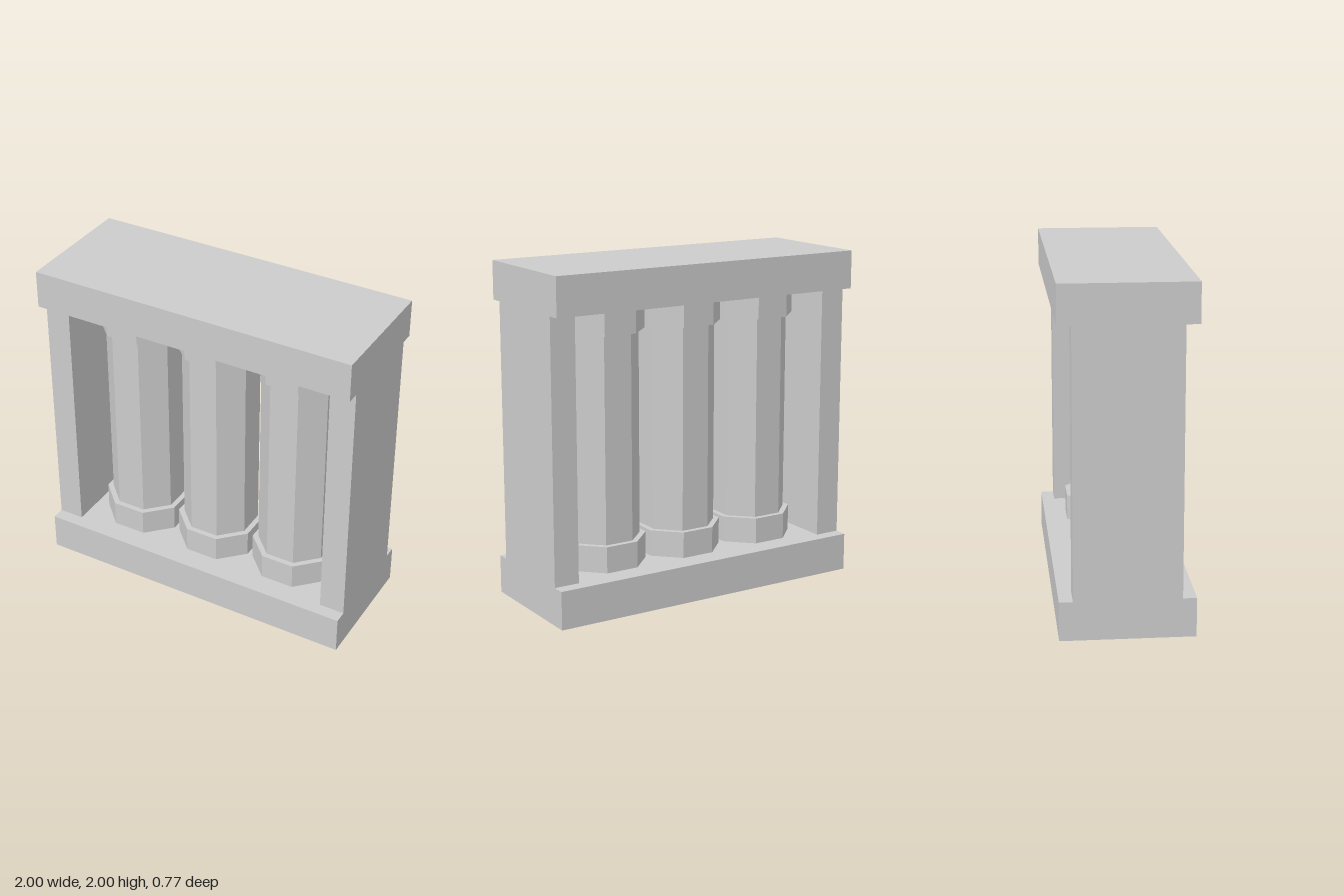
import * as THREE from 'three';

export function createModel() {
  const model = new THREE.Group();
  model.name = 'columnedFrame';
  const stone = new THREE.MeshStandardMaterial({ color: 0xcccccc, flatShading: true });
  stone.name = 'grey stone';

  const add = (parent, name, geometry, x, y) => {
    const mesh = new THREE.Mesh(geometry, stone);
    mesh.name = name;
    mesh.position.set(x, y, 0);
    parent.add(mesh);
  };

  // Octagonal prism of the given width across flats, one flat facing +z
  const octagon = (width, height) => {
    const radius = width / 2 / Math.cos(Math.PI / 8);
    return new THREE.CylinderGeometry(radius, radius, height, 8, 1, false, Math.PI / 8);
  };

  // Bottom and top slabs
  add(model, 'baseSlab', new THREE.BoxGeometry(2, 0.228, 0.766), 0, 0.114);
  add(model, 'topSlab', new THREE.BoxGeometry(2, 0.228, 0.766), 0, 1.886);

  // Side walls, mirrored
  for (const side of [-1, 1]) {
    const name = side > 0 ? 'leftWall' : 'rightWall';
    add(model, name, new THREE.BoxGeometry(0.154, 1.544, 0.61), side * 0.923, 1);
  }

  // Three columns, each with a foot, a shaft and a capital
  for (const i of [-1, 0, 1]) {
    const column = new THREE.Group();
    column.name = ['rightColumn', 'middleColumn', 'leftColumn'][i + 1];
    column.position.x = i * 0.524;
    add(column, 'columnFoot', octagon(0.49, 0.158), 0, 0.307);
    add(column, 'columnShaft', octagon(0.425, 1.228), 0, 1);
    add(column, 'columnCapital', octagon(0.49, 0.158), 0, 1.693);
    model.add(column);
  }
  return model;
}
